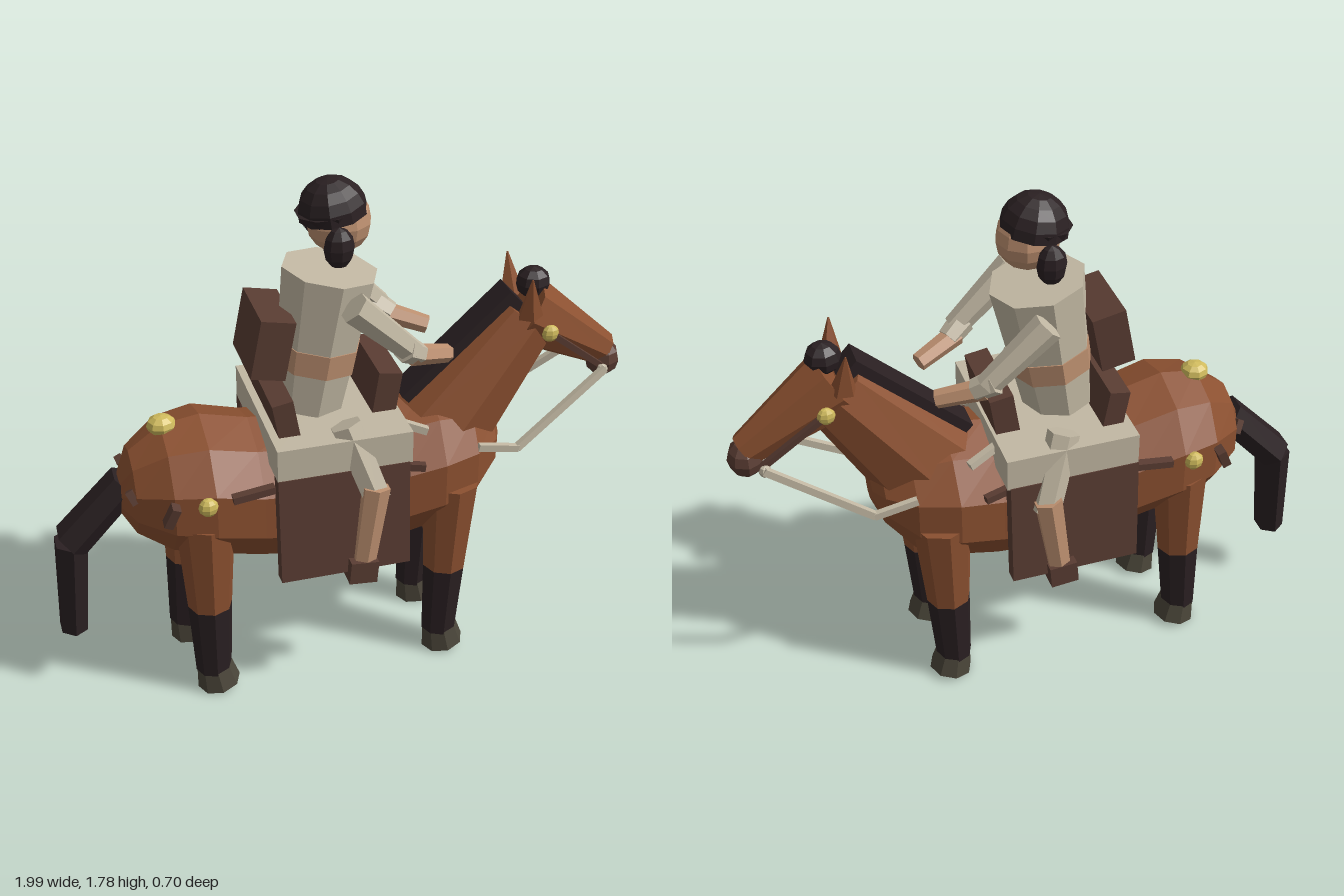
import * as THREE from 'three';

const mat = (name, color, extra = {}) => new THREE.MeshStandardMaterial({ name, color, flatShading: true, ...extra });
const V = (p) => new THREE.Vector3(...p);

export function createModel() {
  const root = new THREE.Group();
  root.name = 'horseAndRider';
  const coat = mat('chestnut coat', 0x8b5030);
  const black = mat('black hair', 0x2a2022);
  const leather = mat('dark leather', 0x593c32);
  const cloth = mat('beige cloth', 0xc2b8a3);
  const skin = mat('skin', 0xbd9070);
  const hoofMat = mat('hoof', 0x4b463a);
  const gold = mat('gold', 0xcfba5c);

  const add = (name, geo, m) => {
    const mesh = new THREE.Mesh(geo, m);
    mesh.name = name;
    root.add(mesh);
    return mesh;
  };
  // Place a y-aligned shape between two points, keeping its z axis near world z
  const span = (mesh, a, b) => {
    const A = V(a), B = V(b);
    const y = B.clone().sub(A).normalize();
    const x = y.clone().cross(V([0, 0, 1])).normalize();
    const z = x.clone().cross(y);
    mesh.quaternion.setFromRotationMatrix(new THREE.Matrix4().makeBasis(x, y, z));
    mesh.position.copy(A.add(B).multiplyScalar(0.5));
    return mesh;
  };
  const dist = (a, b) => V(a).distanceTo(V(b));
  // Tapered tube from a (radius ra) to b (radius rb); zs scales the width
  const limb = (name, m, a, b, ra, rb, zs = 1, n = 8) =>
    span(add(name, new THREE.CylinderGeometry(rb, ra, dist(a, b), n).scale(1, 1, zs), m), a, b);
  const bar = (name, m, a, b, w, d) =>
    span(add(name, new THREE.BoxGeometry(w, dist(a, b), d), m), a, b);
  const ball = (name, m, p, r, w = 8, h = 6) => {
    const mesh = add(name, new THREE.SphereGeometry(1, w, h).scale(...r), m);
    mesh.position.set(...p);
    return mesh;
  };
  const both = (f) => [['left', -1], ['right', 1]].forEach(([side, s]) => f(side, s));

  // Horse trunk: elliptical rings [x, centre y, half height, half width]
  const rings = [
    [-0.76, 0.75, 0.07, 0.06], [-0.72, 0.76, 0.15, 0.14], [-0.61, 0.765, 0.225, 0.225],
    [-0.48, 0.76, 0.25, 0.26], [-0.32, 0.72, 0.25, 0.25], [-0.08, 0.69, 0.265, 0.24],
    [0.15, 0.705, 0.26, 0.24], [0.3, 0.735, 0.25, 0.25], [0.43, 0.745, 0.21, 0.2],
    [0.52, 0.77, 0.12, 0.12], [0.55, 0.78, 0.05, 0.05],
  ];
  const N = 10, pos = [], idx = [];
  for (const [x, y, ry, rz] of rings) {
    for (let i = 0; i < N; i++) {
      const t = (i / N) * Math.PI * 2;
      pos.push(x, y + ry * Math.cos(t), rz * Math.sin(t));
    }
  }
  for (let r = 0; r < rings.length - 1; r++) {
    for (let i = 0; i < N; i++) {
      const a = r * N + i, b = r * N + ((i + 1) % N);
      idx.push(a, b, a + N, b, b + N, a + N);
    }
  }
  const last = (rings.length - 1) * N;
  for (let i = 1; i < N - 1; i++) idx.push(0, i + 1, i, last, last + i, last + i + 1);
  const trunk = new THREE.BufferGeometry();
  trunk.setAttribute('position', new THREE.Float32BufferAttribute(pos, 3));
  trunk.setIndex(idx);
  trunk.computeVertexNormals();
  add('horseBody', trunk, coat);

  // Neck, head and muzzle
  limb('neck', coat, [0.34, 0.835, 0], [0.645, 1.215, 0], 0.2, 0.125, 0.82);
  limb('horseHead', coat, [0.63, 1.235, 0], [0.94, 1.035, 0], 0.125, 0.06, 0.9);
  ball('muzzle', leather, [0.94, 1.005, 0], [0.06, 0.065, 0.068]);

  // Mane, forelock and tail
  bar('mane', black, [0.23, 0.955, 0], [0.6, 1.295, 0], 0.09, 0.1);
  ball('forelock', black, [0.665, 1.33, 0], [0.06, 0.055, 0.055]);
  limb('upperTail', black, [-0.735, 0.79, -0.01], [-0.93, 0.58, -0.02], 0.06, 0.065, 1.2, 6);
  limb('lowerTail', black, [-0.93, 0.58, -0.02], [-0.95, 0.225, -0.02], 0.06, 0.05, 1.2, 6);

  both((side, s) => {
    const z = 0.15 * s;
    limb(side + 'Ear', coat, [0.625, 1.25, 0.085 * s], [0.615, 1.395, 0.115 * s], 0.045, 0.003, 0.8, 5);

    // Legs with dark lower halves and hooves
    for (const [end, xt, xb] of [['Front', 0.345, 0.32], ['Hind', -0.505, s > 0 ? -0.5 : -0.535]]) {
      const xm = (xt + xb) / 2;
      limb(side + end + 'UpperLeg', coat, [xt, 0.7, z], [xm, 0.355, z], 0.1, 0.076);
      limb(side + end + 'LowerLeg', black, [xm, 0.355, z], [xb, 0.08, z], 0.076, 0.062);
      limb(side + end + 'Hoof', hoofMat, [xb + 0.015, 0.015, z], [xb, 0.1, z], 0.075, 0.06);
    }

    // Bridle, reins and harness
    ball(side + 'BridleRosette', gold, [0.69, 1.19, 0.115 * s], [0.03, 0.03, 0.02]);
    bar(side + 'CheekStrap', leather, [0.69, 1.19, 0.112 * s], [0.9, 1.02, 0.085 * s], 0.02, 0.02);
    ball(side + 'BitRing', cloth, [0.895, 1.015, 0.105 * s], [0.022, 0.022, 0.018], 6, 4);
    bar(side + 'Rein', cloth, [0.9, 1.025, 0.115 * s], [0.57, 0.8, 0.175 * s], 0.025, 0.02);
    bar(side + 'LowerRein', cloth, [0.575, 0.8, 0.175 * s], [0.43, 0.83, 0.18 * s], 0.025, 0.02);
    bar(side + 'SaddleRein', cloth, [0.12, 0.965, 0.13 * s], [0.25, 0.92, 0.17 * s], 0.025, 0.025);
    bar(side + 'ChestStrap', leather, [0.14, 0.84, 0.23 * s], [0.22, 0.83, 0.245 * s], 0.025, 0.025);
    ball(side + 'RumpRosette', gold, [-0.51, 0.81, 0.25 * s], [0.033, 0.033, 0.025]);
    bar(side + 'RumpStrap', leather, [-0.43, 0.825, 0.25 * s], [-0.29, 0.84, 0.245 * s], 0.025, 0.03);
    bar(side + 'HaunchStrap', leather, [-0.61, 0.82, 0.235 * s], [-0.64, 0.75, 0.225 * s], 0.03, 0.04);
    bar(side + 'TailStrap', leather, [-0.74, 0.82, 0.1 * s], [-0.72, 0.78, 0.12 * s], 0.025, 0.035);

    // Saddle flap
    const flap = add(side + 'SaddleFlap', new THREE.BoxGeometry(0.44, 0.38, 0.05), leather);
    flap.position.set(-0.07, 0.7, 0.28 * s);
    flap.rotation.x = -0.06 * s;

    // Rider's leg
    limb(side + 'Thigh', cloth, [-0.05, 1.03, 0.23 * s], [0.035, 0.78, 0.305 * s], 0.055, 0.05, 0.9, 6);
    limb(side + 'Shin', skin, [0.03, 0.83, 0.31 * s], [-0.012, 0.53, 0.315 * s], 0.05, 0.04, 0.85, 6);
    bar(side + 'Boot', leather, [-0.015, 0.56, 0.315 * s], [-0.022, 0.48, 0.315 * s], 0.095, 0.07);

    // Rider's arm
    limb(side + 'UpperArm', cloth, [-0.01, 1.42, 0.185 * s], [0.19, 1.23, 0.175 * s], 0.055, 0.042, 0.85, 6);
    limb(side + 'Cuff', cloth, [0.16, 1.245, 0.18 * s], [0.22, 1.205, 0.15 * s], 0.044, 0.038, 1, 6);
    limb(side + 'Forearm', skin, [0.19, 1.21, 0.16 * s], [0.335, 1.165, 0.105 * s], 0.037, 0.031, 1, 6);
    ball(side + 'HairBun', black, [-0.04, 1.6, 0.125 * s], [0.05, 0.068, 0.04]);
  });
  ball('topRosette', gold, [-0.605, 0.99, 0], [0.05, 0.035, 0.047]);

  // Saddle
  const blanket = add('saddleBlanket', new THREE.BoxGeometry(0.45, 0.115, 0.58), cloth);
  blanket.position.set(-0.065, 0.945, 0);
  bar('pommel', leather, [0.105, 0.98, 0], [0.13, 1.14, 0], 0.08, 0.28);
  bar('cantle', leather, [-0.225, 0.98, 0], [-0.25, 1.125, 0], 0.07, 0.42);

  // Rider torso with waistband and pack
  limb('torso', cloth, [-0.11, 1.0, 0], [-0.035, 1.475, 0], 0.12, 0.16, 1);
  limb('waistband', skin, [-0.087, 1.145, 0], [-0.074, 1.228, 0], 0.139, 0.143, 1);
  bar('backpack', leather, [-0.275, 1.17, 0], [-0.235, 1.37, 0], 0.115, 0.25);

  // Rider head and hair
  ball('riderHead', skin, [-0.005, 1.635, 0], [0.105, 0.105, 0.1], 10, 8);
  const cap = add('hairCap', new THREE.SphereGeometry(0.112, 10, 5, 0, Math.PI * 2, 0, Math.PI * 0.53), black);
  cap.position.set(-0.025, 1.67, 0);
  cap.rotation.z = 0.16;
  const rim = add('hairBase', new THREE.CylinderGeometry(0.11, 0.1, 0.03, 10), black);
  rim.position.set(-0.035, 1.672, 0);
  rim.rotation.z = 0.16;

  return root;
}
